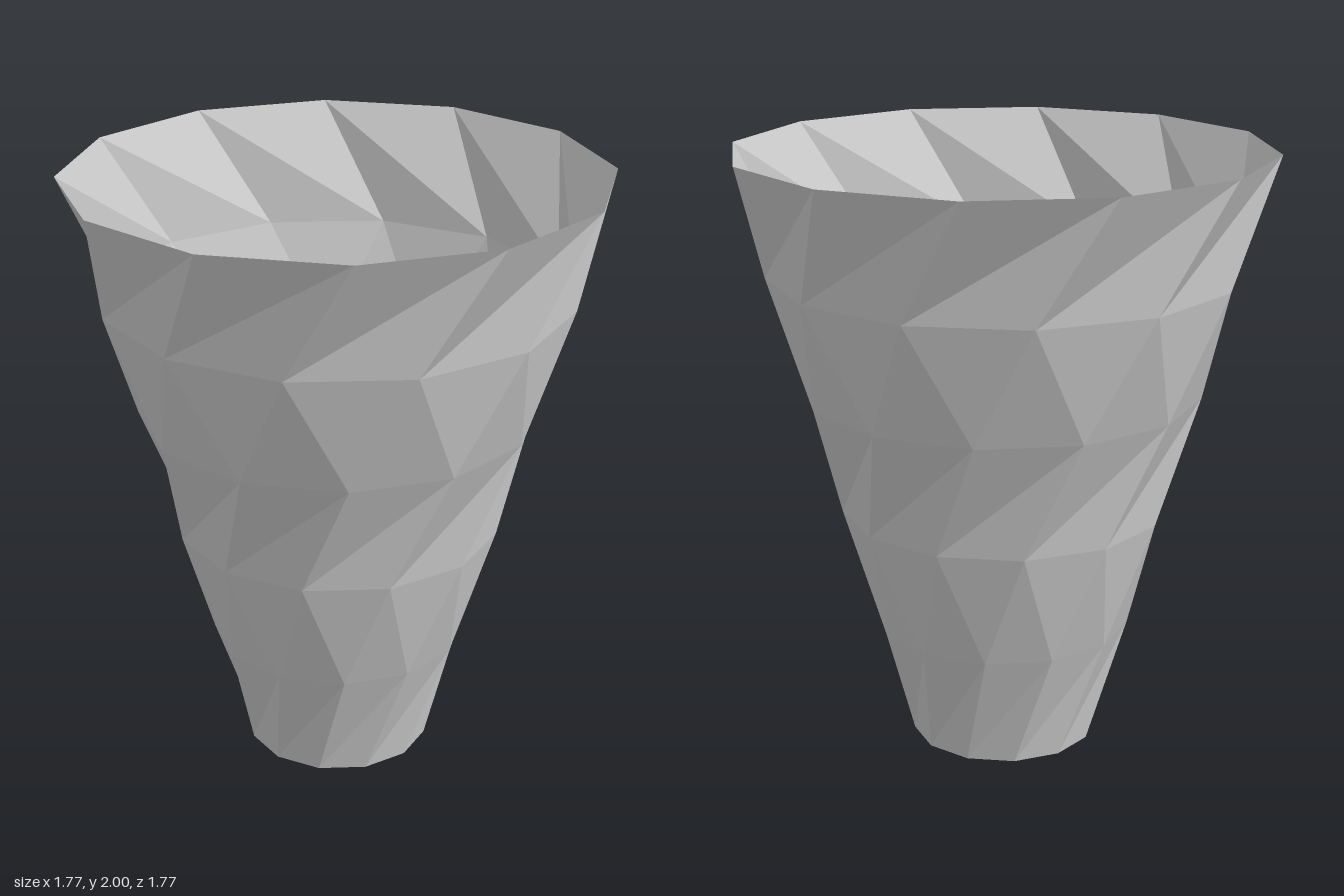
import * as THREE from 'three';

const SIDES = 12, BANDS = 5, HEIGHT = 2;
const BOTTOM_RADIUS = 0.306, TOP_RADIUS = 0.883;

// Open, tapering faceted wall: every other ring is turned by half a side.
function facetedWall() {
  const positions = [], index = [];
  for (let ring = 0; ring <= BANDS; ring++) {
    const t = ring / BANDS;
    const radius = THREE.MathUtils.lerp(BOTTOM_RADIUS, TOP_RADIUS, t);
    const shift = ring % 2 === 0 ? -0.5 : 0;
    for (let j = 0; j < SIDES; j++) {
      const angle = ((j + shift) / SIDES) * Math.PI * 2;
      positions.push(radius * Math.sin(angle), t * HEIGHT, radius * Math.cos(angle));
    }
  }
  // Each cell is split along the diagonal that leans with the twist.
  for (let ring = 0; ring < BANDS; ring++) {
    for (let j = 0; j < SIDES; j++) {
      const next = (j + 1) % SIDES;
      const a = ring * SIDES + j, b = ring * SIDES + next;
      const c = b + SIDES, d = a + SIDES;
      index.push(a, b, c, a, c, d);
    }
  }
  const indexed = new THREE.BufferGeometry();
  indexed.setAttribute('position', new THREE.Float32BufferAttribute(positions, 3));
  indexed.setIndex(index);
  const geometry = indexed.toNonIndexed();
  geometry.computeVertexNormals();
  return geometry;
}

export function createModel() {
  const group = new THREE.Group();
  group.name = 'facetedVase';
  const material = new THREE.MeshStandardMaterial({
    color: 0xcccccc, flatShading: true, side: THREE.DoubleSide,
  });
  const wall = new THREE.Mesh(facetedWall(), material);
  wall.name = 'vaseWall';
  group.add(wall);
  return group;
}
